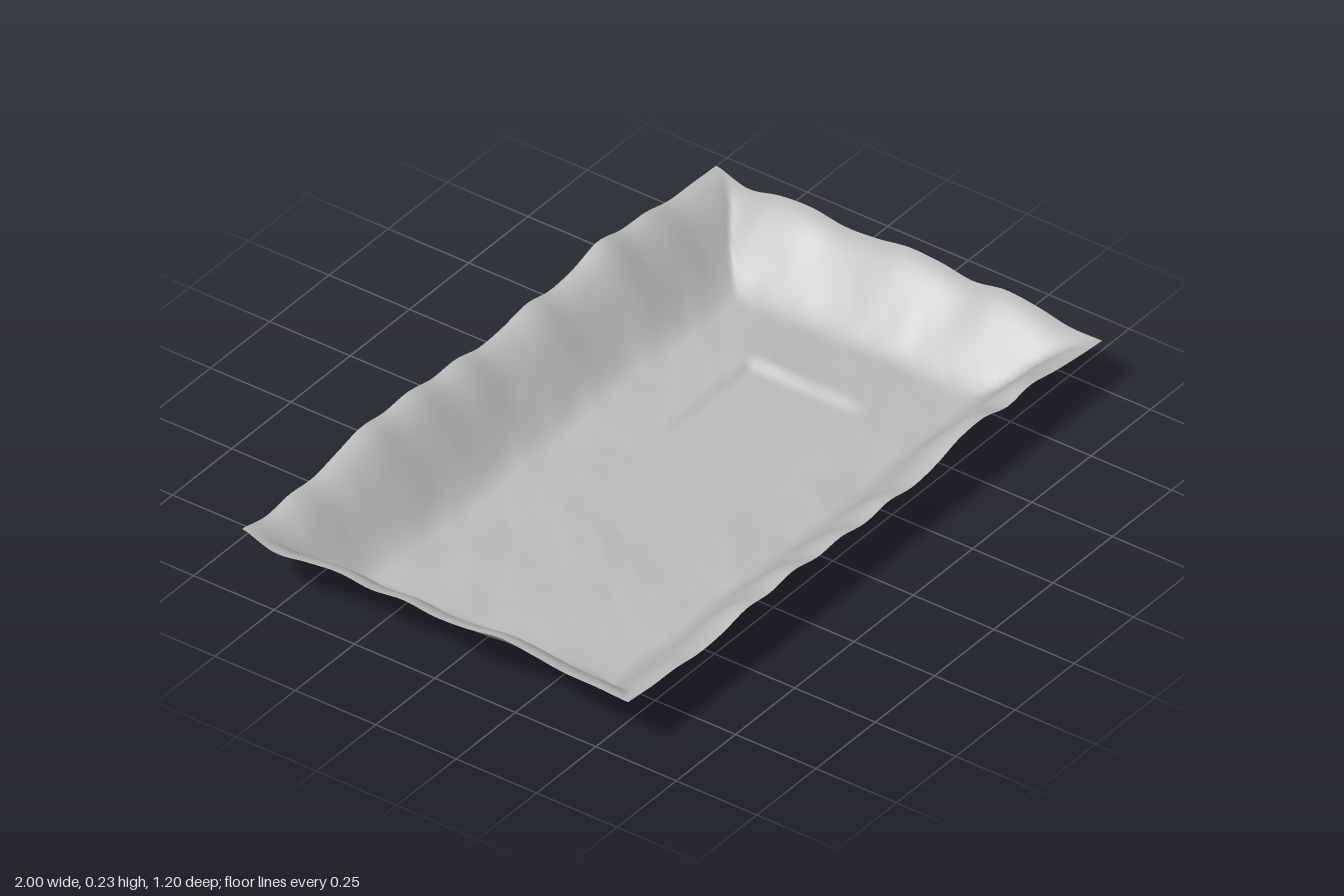
import * as THREE from 'three';

const HALF_X = 1, HALF_Z = 0.6, SLOPE = 0.25;

// Rim heights, evenly spaced along each edge (x from -1 to 1, z from -0.6 to 0.6)
const edge = (heights) => {
  const curve = new THREE.SplineCurve(heights.map((h, i) => new THREE.Vector2(i, h)));
  return (t) => curve.getPoint(THREE.MathUtils.clamp(t, 0, 1)).y;
};
const frontRim = edge([0.18, 0.172, 0.17, 0.16, 0.165, 0.182, 0.175, 0.186, 0.17, 0.175, 0.16,
  0.17, 0.157, 0.168, 0.193, 0.198, 0.175, 0.186, 0.17, 0.158, 0.15]);
const backRim = edge([0.208, 0.19, 0.2, 0.195, 0.214, 0.234, 0.225, 0.23, 0.213, 0.215, 0.195,
  0.2, 0.215, 0.2, 0.21, 0.235, 0.215, 0.21, 0.19, 0.187, 0.183]);
const leftRim = edge([0.183, 0.155, 0.175, 0.18, 0.165, 0.17, 0.185, 0.18, 0.165, 0.18, 0.17, 0.15, 0.15]);
const rightRim = edge([0.208, 0.178, 0.19, 0.2, 0.19, 0.2, 0.19, 0.195, 0.21, 0.2, 0.187, 0.185, 0.18]);

const smooth = (v, a, b) => THREE.MathUtils.smoothstep(v, a, b);
const falloff = (d) => 1 - smooth(d, 0, SLOPE);

// Smooth seeded value noise in the range -1 to 1
const hash = (i, j) => {
  const s = Math.sin(i * 127.1 + j * 311.7 + 4.2) * 43758.5453;
  return (s - Math.floor(s)) * 2 - 1;
};
function noise(x, z) {
  const i = Math.floor(x), j = Math.floor(z);
  const u = smooth(x - i, 0, 1), v = smooth(z - j, 0, 1);
  const mix = THREE.MathUtils.lerp;
  return mix(mix(hash(i, j), hash(i + 1, j), u), mix(hash(i, j + 1), hash(i + 1, j + 1), u), v);
}

// Height of the sheet: mitred sloping sides, uneven floor, sunken flat rectangle
function heightAt(x, z) {
  const tx = (x + HALF_X) / (2 * HALF_X), tz = (z + HALF_Z) / (2 * HALF_Z);
  const wall = Math.max(
    frontRim(tx) * falloff(HALF_Z - z), backRim(tx) * falloff(HALF_Z + z),
    leftRim(tz) * falloff(HALF_X - x), rightRim(tz) * falloff(HALF_X + x));
  const inset = Math.min(HALF_X - Math.abs(x), HALF_Z - Math.abs(z));

  const mound = 0.02 * Math.exp(-(((x - 0.45) / 0.28) ** 2) - ((z + 0.03) / 0.22) ** 2);
  const bumps = 0.005 * noise(x * 6 + z * 3, z * 9) + 0.002 * noise(x * 14, z * 20 + x * 6);
  const floor = (0.008 + mound + bumps) * smooth(inset, 0, 0.2);

  const pad = smooth(x, -0.23, -0.18) * (1 - smooth(x, 0.535, 0.575))
    * smooth(z, -0.185, -0.15) * (1 - smooth(z, 0.165, 0.205));
  return Math.max(0, THREE.MathUtils.lerp(wall + floor, 0.005, pad));
}

export function createModel() {
  const group = new THREE.Group();
  group.name = 'basin';
  const grey = new THREE.MeshStandardMaterial({ color: 0xbcbcbc, side: THREE.DoubleSide });
  grey.name = 'grey';

  // One continuous sheet, raised at the rim
  const geometry = new THREE.PlaneGeometry(2 * HALF_X, 2 * HALF_Z, 160, 96);
  geometry.rotateX(-Math.PI / 2);
  const p = geometry.attributes.position;
  let lowest = Infinity;
  for (let i = 0; i < p.count; i++) {
    const y = heightAt(p.getX(i), p.getZ(i));
    lowest = Math.min(lowest, y);
    p.setY(i, y);
  }
  geometry.translate(0, -lowest, 0);
  geometry.computeVertexNormals();

  const sheet = new THREE.Mesh(geometry, grey);
  sheet.name = 'terrainSheet';
  group.add(sheet);
  return group;
}
